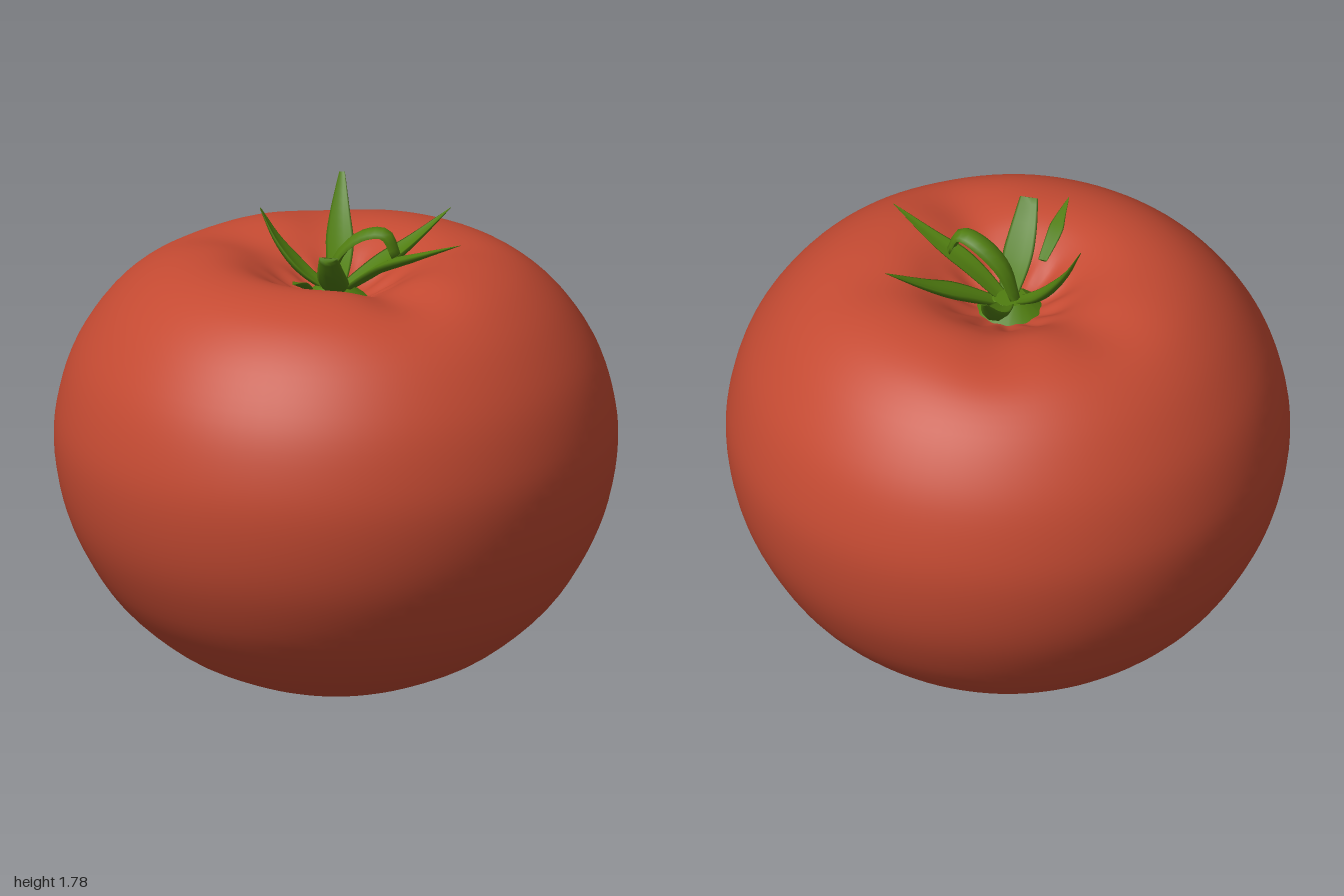
import * as THREE from 'three';
import { mergeVertices } from 'three/addons/utils/BufferGeometryUtils.js';

const V = (p) => new THREE.Vector3(...p);

// Fruit: a turned profile whose shoulder is pressed into lobes
function fruitGeometry() {
  const profile = [
    [0, 0.005], [0.1, 0.02], [0.25, 0.05], [0.42, 0.11], [0.6, 0.205], [0.78, 0.365], [0.9, 0.55],
    [0.97, 0.73], [1, 0.93], [0.982, 1.1], [0.925, 1.27], [0.82, 1.43], [0.7, 1.54], [0.58, 1.6],
    [0.46, 1.62], [0.36, 1.605], [0.27, 1.56], [0.18, 1.5], [0.1, 1.46], [0, 1.445],
  ].map(([r, y]) => new THREE.Vector2(r, y));
  const points = new THREE.SplineCurve(profile).getPoints(76);
  points[0].x = points[points.length - 1].x = 0;
  let geo = new THREE.LatheGeometry(points, 96);
  geo.deleteAttribute('uv');
  geo.deleteAttribute('normal');
  geo = mergeVertices(geo, 1e-4);

  // Grooves: angle from +x towards +z, angular width, depth
  const grooves = [[0.38, 0.3, 0.05], [3.1, 0.35, 0.035], [3.95, 0.3, 0.025], [-0.95, 0.3, 0.015]];
  const pos = geo.attributes.position;
  for (let i = 0; i < pos.count; i++) {
    const x = pos.getX(i), y = pos.getY(i), z = pos.getZ(i);
    if (y < 1.2) continue;
    const r = Math.hypot(x, z), a = Math.atan2(z, x);
    const shoulder = Math.exp(-(((r - 0.45) / 0.2) ** 2));
    let dy = 0;
    for (const [angle, width, depth] of grooves) {
      const d = Math.atan2(Math.sin(a - angle), Math.cos(a - angle));
      dy -= depth * shoulder * Math.exp(-((d / width) ** 2));
    }
    // Fine wrinkles around the stem pit
    dy += 0.008 * Math.sin(11 * a) * Math.exp(-(((r - 0.18) / 0.06) ** 2));
    pos.setY(i, y + dy);
  }
  geo.computeVertexNormals();
  return geo;
}

// Sepal: lens-shaped sections swept along a curve, cupped upwards
function sepalGeometry(path, width, tip, cup) {
  const curve = new THREE.CatmullRomCurve3(path.map(V));
  const rows = 14, sides = 10, verts = [], index = [];
  const first = V(path[0]), last = V(path[path.length - 1]);
  const across = new THREE.Vector3(last.z - first.z, 0, first.x - last.x).normalize();
  for (let i = 0; i <= rows; i++) {
    const t = i / rows, c = curve.getPoint(t);
    const up = curve.getTangent(t).cross(across).normalize();
    const grow = 0.6 + 0.4 * Math.sin(Math.min(1, t / 0.45) * Math.PI / 2);
    const taper = t < 0.45 ? 1 : 1 - (1 - tip) * ((t - 0.45) / 0.55) ** 1.2;
    const w = width * grow * taper / 2;
    for (let j = 0; j < sides; j++) {
      const a = (j / sides) * Math.PI * 2, s = Math.cos(a);
      const p = c.clone().addScaledVector(across, w * s)
        .addScaledVector(up, w * (0.28 * Math.sin(a) + cup * (s * s - 0.5)));
      verts.push(p.x, p.y, p.z);
    }
  }
  for (let i = 0; i < rows; i++) {
    for (let j = 0; j < sides; j++) {
      const a = i * sides + j, b = i * sides + (j + 1) % sides;
      index.push(a, b, a + sides, b, b + sides, a + sides);
    }
  }
  // Closed ends
  for (let j = 1; j < sides - 1; j++) {
    const e = rows * sides;
    index.push(0, j + 1, j, e, e + j, e + j + 1);
  }
  const geo = new THREE.BufferGeometry();
  geo.setAttribute('position', new THREE.Float32BufferAttribute(verts, 3));
  geo.setIndex(index);
  geo.computeVertexNormals();
  return geo;
}

export function createModel() {
  const red = new THREE.MeshStandardMaterial({ color: 0xc44a32 });
  red.name = 'tomatoRed';
  const green = new THREE.MeshStandardMaterial({ color: 0x507d10, side: THREE.DoubleSide });
  green.name = 'leafGreen';

  const model = new THREE.Group();
  model.name = 'tomato';
  const add = (parent, name, geo, mat) => {
    const mesh = new THREE.Mesh(geo, mat);
    mesh.name = name;
    parent.add(mesh);
    return mesh;
  };
  add(model, 'fruit', fruitGeometry(), red);

  // Calyx: small base disc with sepals and a curled stem
  const calyx = new THREE.Group();
  calyx.name = 'calyx';
  model.add(calyx);
  const base = add(calyx, 'calyxBase', new THREE.CylinderGeometry(0.06, 0.14, 0.06, 16), green);
  base.position.set(0, 1.475, 0.01);

  // Path, width, tip width ratio, cupping
  const sepals = [
    ['backRightSepal', [[-0.01, 1.49, -0.02], [-0.1, 1.56, -0.14], [-0.19, 1.66, -0.25], [-0.26, 1.78, -0.345]], 0.1, 0.2, 0.5],
    ['backLeftSepal', [[0.02, 1.49, -0.03], [0.07, 1.55, -0.14], [0.12, 1.62, -0.27], [0.175, 1.72, -0.425]], 0.1, 0.03, 0.5],
    ['leftSepal', [[0.03, 1.49, 0], [0.16, 1.59, -0.05], [0.3, 1.65, -0.09], [0.47, 1.72, -0.125]], 0.09, 0.03, 0.4],
    ['rightSepal', [[-0.02, 1.49, 0.02], [-0.11, 1.55, 0.05], [-0.19, 1.65, 0.09], [-0.245, 1.77, 0.125]], 0.085, 0.1, 0.4],
    ['frontSepal', [[0.02, 1.49, 0.02], [0.09, 1.55, 0.12], [0.15, 1.63, 0.21], [0.19, 1.71, 0.27]], 0.11, 0.6, 0.4],
    ['frontSepalTip', [[0.04, 1.55, 0.2], [0.08, 1.6, 0.29], [0.115, 1.625, 0.35], [0.16, 1.65, 0.43]], 0.055, 0.04, 0.3],
    ['curledStem', [[-0.02, 1.5, 0.02], [0.02, 1.62, 0], [0.1, 1.7, -0.035], [0.18, 1.715, -0.06], [0.215, 1.64, -0.075]], 0.095, 0.7, -0.4],
  ];
  for (const [name, path, width, tip, cup] of sepals) {
    add(calyx, name, sepalGeometry(path, width, tip, cup), green);
  }
  return model;
}
